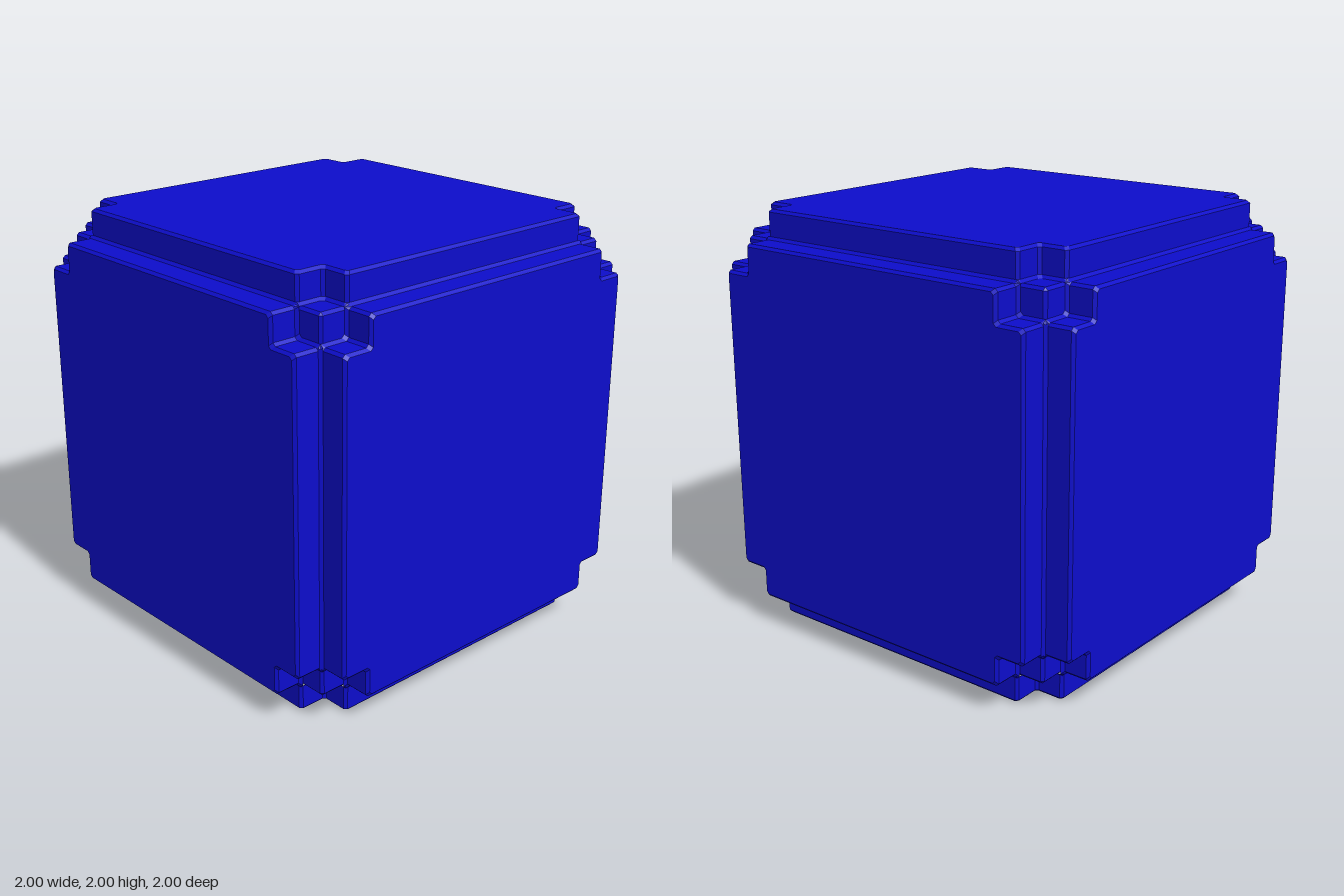
import * as THREE from 'three';
import { ConvexGeometry } from 'three/addons/geometries/ConvexGeometry.js';

const HALF = 0.862;   // half size of the core, and half span of each plate
const NOTCH = 0.724;  // where the square corner notches of a plate begin
const BEVEL = 0.013;

// Square outline with notched, chamfered corners, grown by d
function plateOutline(d) {
  const a = HALF + d, b = NOTCH + d, c = BEVEL;
  const quadrant = [[a, b - c], [a - c, b], [b + c, b], [b, b + c], [b, a - c], [b - c, a]];
  const points = [];
  for (let q = 0; q < 4; q++) {
    for (const [x, y] of quadrant) {
      points.push(new THREE.Vector2(x, y).rotateAround(new THREE.Vector2(), q * Math.PI / 2));
    }
  }
  return points;
}

// Plate facing +z: flared foot, straight wall, bevelled rim and flat face
function plateGeometry() {
  const rings = [[HALF, BEVEL], [HALF + BEVEL, 0], [1 - BEVEL, 0], [1, -BEVEL]]
    .map(([z, d]) => plateOutline(d).map(p => new THREE.Vector3(p.x, p.y, z)));
  const pos = [];
  const triangle = (...corners) => corners.forEach(v => pos.push(v.x, v.y, v.z));
  for (let r = 0; r < rings.length - 1; r++) {
    const low = rings[r], high = rings[r + 1];
    for (let i = 0; i < low.length; i++) {
      const j = (i + 1) % low.length;
      triangle(low[i], low[j], high[j]);
      triangle(low[i], high[j], high[i]);
    }
  }
  const rim = rings[rings.length - 1];
  for (const [a, b, c] of THREE.ShapeUtils.triangulateShape(plateOutline(-BEVEL), [])) {
    triangle(rim[a], rim[b], rim[c]);
  }
  const geometry = new THREE.BufferGeometry();
  geometry.setAttribute('position', new THREE.Float32BufferAttribute(pos, 3));
  geometry.computeVertexNormals();
  return geometry;
}

// Cube with chamfered edges; its corners show in the plate notches
function coreGeometry() {
  const points = [], s = HALF - BEVEL;
  for (const x of [-1, 1]) for (const y of [-1, 1]) for (const z of [-1, 1]) {
    points.push(
      new THREE.Vector3(x * HALF, y * s, z * s),
      new THREE.Vector3(x * s, y * HALF, z * s),
      new THREE.Vector3(x * s, y * s, z * HALF));
  }
  return new ConvexGeometry(points);
}

export function createModel() {
  const model = new THREE.Group();
  model.name = 'notchedCube';
  const material = new THREE.MeshStandardMaterial({ color: 0x0d0dcc, flatShading: true });

  const core = new THREE.Mesh(coreGeometry(), material);
  core.name = 'core';
  core.position.y = 1;
  model.add(core);

  // One raised plate on each side of the core
  const plate = plateGeometry();
  const q = Math.PI / 2;
  const sides = {
    frontPlate: [0, 0], leftPlate: [0, q], backPlate: [0, 2 * q],
    rightPlate: [0, -q], topPlate: [-q, 0], bottomPlate: [q, 0],
  };
  for (const [name, [rx, ry]] of Object.entries(sides)) {
    const mesh = new THREE.Mesh(plate, material);
    mesh.name = name;
    mesh.rotation.set(rx, ry, 0);
    mesh.position.y = 1;
    model.add(mesh);
  }
  return model;
}
